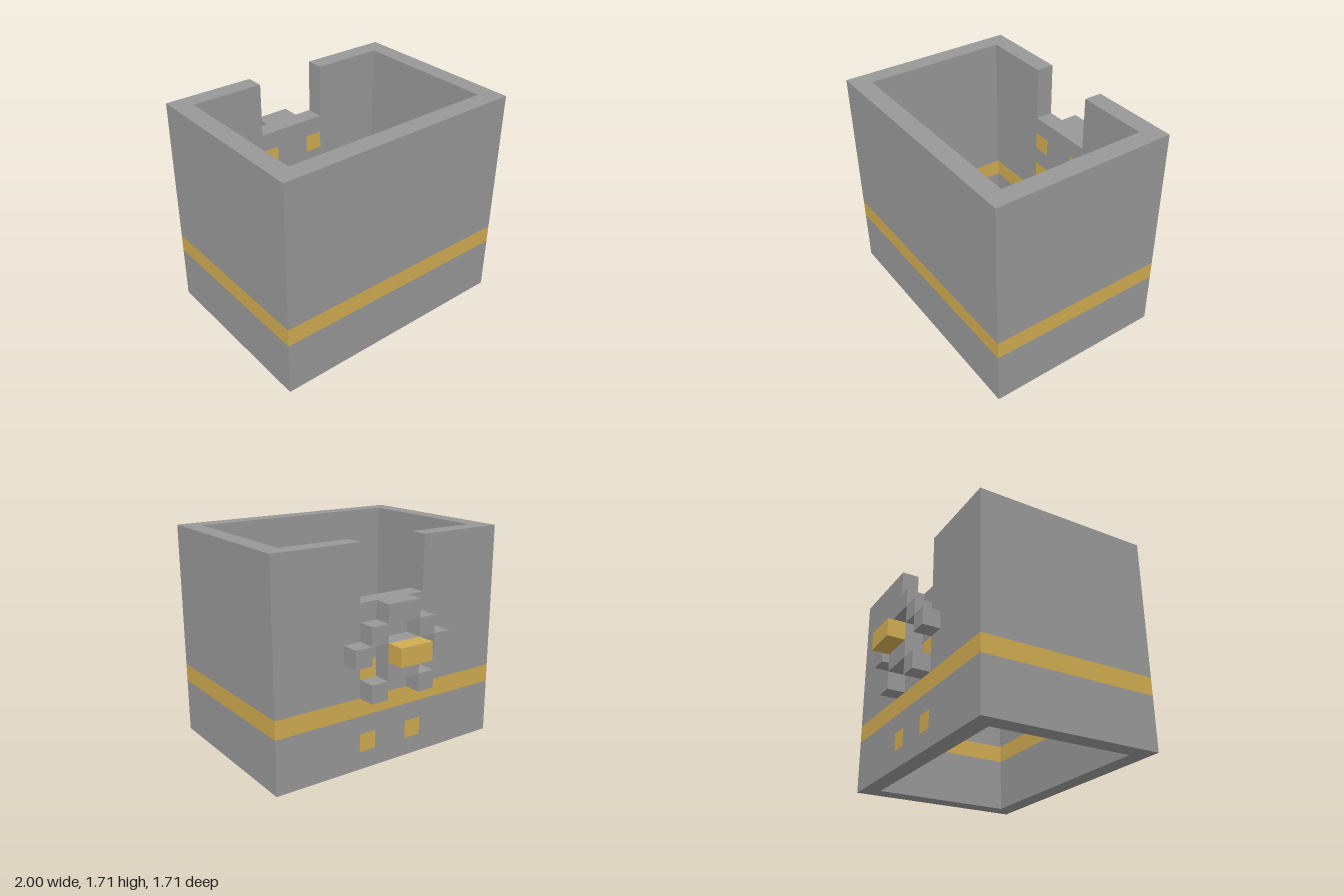
import * as THREE from 'three';

const U = 1 / 7; // one block

export function createModel() {
  const model = new THREE.Group();
  const stone = new THREE.MeshStandardMaterial({ color: 0x989898 });
  stone.name = 'stone grey';
  const gold = new THREE.MeshStandardMaterial({ color: 0xd0ab51 });
  gold.name = 'gold';

  const add = (name, geometry, material) => {
    const mesh = new THREE.Mesh(geometry, material);
    mesh.name = name;
    model.add(mesh);
    return mesh;
  };

  // Box spanning block coordinates
  const block = (name, material, [x0, x1], [y0, y1], [z0, z1]) =>
    add(name, new THREE.BoxGeometry((x1 - x0) * U, (y1 - y0) * U, (z1 - z0) * U), material)
      .position.set((x0 + x1) / 2 * U, (y0 + y1) / 2 * U, (z0 + z1) / 2 * U);

  // Plan outlines as [x, z] in blocks, raised between two heights
  const outline = (points, Type = THREE.Shape) =>
    new Type(points.map(([x, z]) => new THREE.Vector2(x * U, -z * U)));
  const tier = (name, shape, y0, y1, material) => {
    const geometry = new THREE.ExtrudeGeometry(shape, { depth: (y1 - y0) * U, bevelEnabled: false });
    geometry.rotateX(-Math.PI / 2).translate(0, y0 * U, 0);
    add(name, geometry, material);
  };

  // Closed ring of walls with a gold band; the hole runs opposite to the outline
  const ring = outline([[-7, -4], [-7, 6], [7, 6], [7, -4]]);
  ring.holes.push(outline([[-6, -3], [6, -3], [6, 5], [-6, 5]], THREE.Path));
  tier('lowerWalls', ring, 0, 3, stone);
  tier('goldBand', ring, 3, 4, gold);
  tier('middleWalls', ring, 4, 9, stone);

  // Upper walls, open at the back notch
  const notched = outline([
    [-2, -4], [-7, -4], [-7, 6], [7, 6], [7, -4], [2, -4],
    [2, -3], [6, -3], [6, 5], [-6, 5], [-6, -3], [-2, -3],
  ]);
  tier('upperWalls', notched, 9, 12, stone);

  // Raised emblem on the back: centre, cap and gold stud
  block('emblemCap', stone, [-1, 1], [8, 9], [-5, -4]);
  block('emblemCentre', stone, [-1, 1], [5, 7], [-5, -4]);
  block('goldStud', gold, [-1, 1], [6, 7], [-6, -5]);

  for (const side of [-1, 1]) {
    const span = (a, b) => (side > 0 ? [a, b] : [-b, -a]);
    // Blocks around the emblem
    for (const [x, y] of [[1, 7], [2, 6], [1, 4]]) {
      block('emblemBlock', stone, span(x, x + 1), [y, y + 1], [-5, -4]);
    }
    // Gold inlays through the back wall, a hair proud of it
    for (const y of [1, 5, 7]) {
      block('goldInlay', gold, span(1, 2), [y, y + 1], [-4.005, -2.995]);
    }
  }
  return model;
}
